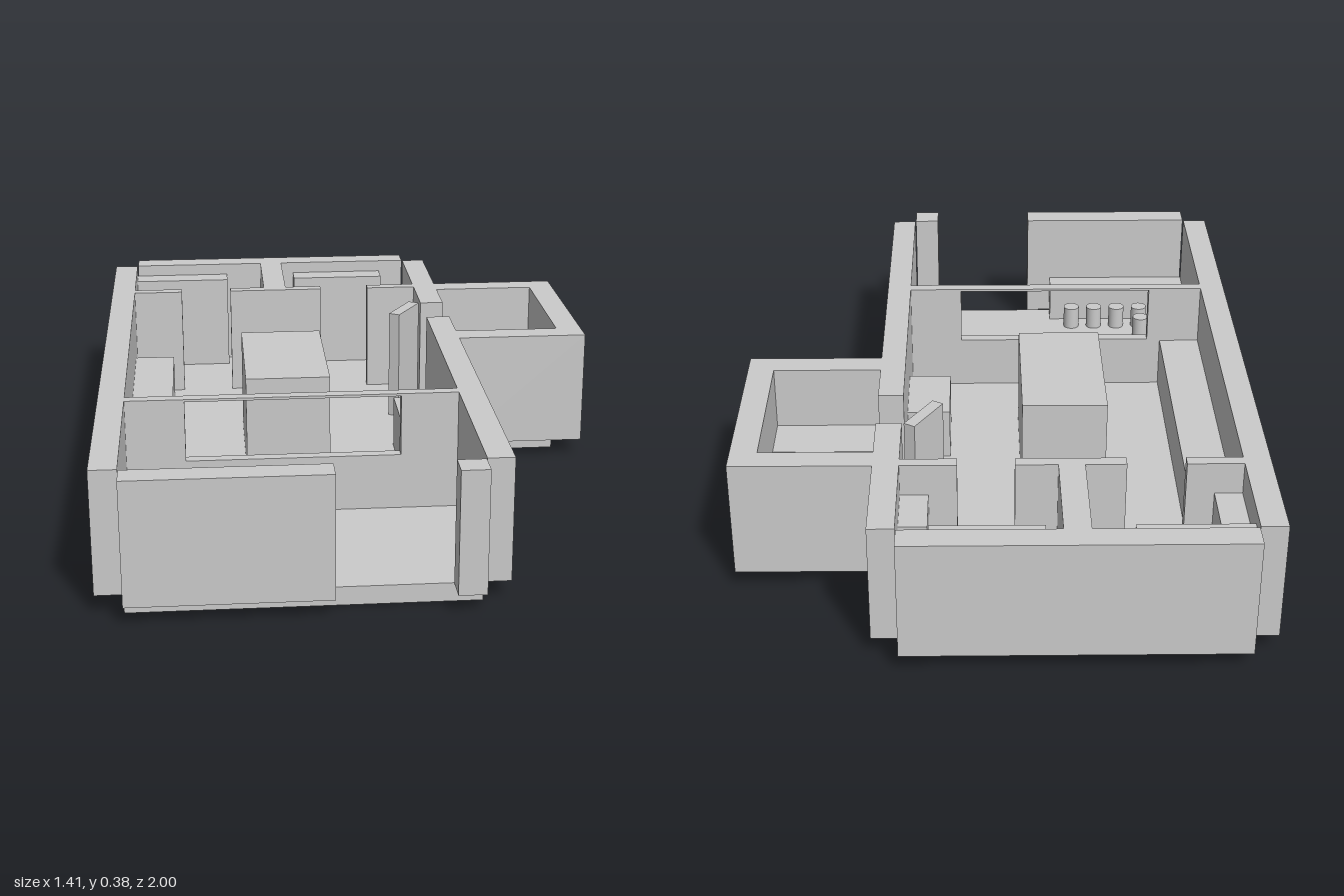
import * as THREE from 'three';

const FLOOR = 0.05, TOP = 0.38;

export function createModel() {
  const model = new THREE.Group();
  const mat = new THREE.MeshStandardMaterial({ color: 0xcccccc, flatShading: true });

  // Box given by its plan extents and its bottom and top heights
  function block(name, x0, x1, z0, z1, y1 = TOP, y0 = FLOOR) {
    const mesh = new THREE.Mesh(new THREE.BoxGeometry(x1 - x0, y1 - y0, z1 - z0), mat);
    mesh.position.set((x0 + x1) / 2, (y0 + y1) / 2, (z0 + z1) / 2);
    mesh.name = name;
    model.add(mesh);
    return mesh;
  }

  // Floor slabs
  block('mainFloor', -0.632, 0.258, -0.925, 0.925, FLOOR, 0);
  block('annexFloor', 0.258, 0.63, -0.555, -0.112, FLOOR, 0);

  // Outer walls, with the front entrance and the annex doorway left open
  block('backWall', -0.632, 0.258, -1, -0.928);
  block('leftSideWall', -0.705, -0.634, -0.925, 0.925);
  block('rightSideWallBack', 0.26, 0.33, -0.925, -0.412);
  block('rightSideWallFront', 0.26, 0.33, -0.26, 0.925);
  block('frontWallWide', -0.632, -0.115, 0.928, 1);
  block('frontWallNarrow', 0.185, 0.258, 0.928, 1);

  // Annex walls
  block('annexBackWall', 0.33, 0.705, -0.63, -0.56);
  block('annexFrontWall', 0.33, 0.705, -0.112, -0.04);
  block('annexSideWall', 0.632, 0.705, -0.56, -0.112);

  // Partition of the two back rooms, with two doorways
  for (const [x0, x1] of [[-0.634, -0.485], [-0.33, -0.04], [0.11, 0.26]]) {
    block('backPartition', x0, x1, -0.63, -0.597);
  }
  block('roomDivider', -0.222, -0.152, -0.928, -0.63);

  // Kitchen partition with a serving hatch
  block('hatchPostLeft', -0.634, -0.475, 0.405, 0.437);
  block('hatchPostRight', 0.105, 0.26, 0.405, 0.437);
  block('hatchSill', -0.475, 0.105, 0.405, 0.437, 0.205);
  block('hatchLintel', -0.475, 0.105, 0.405, 0.437, TOP, 0.373);

  // Door standing open beside the annex doorway
  const door = block('openDoor', 0.13, 0.275, -0.377, -0.343);
  door.rotation.y = THREE.MathUtils.degToRad(59);

  // Furniture
  block('wardrobeLeft', -0.634, -0.335, -0.928, -0.858, 0.345);
  block('wardrobeRight', -0.112, 0.18, -0.928, -0.858, 0.345);
  block('deskLeft', -0.634, -0.56, -0.78, -0.63, 0.29);
  block('deskRight', 0.185, 0.26, -0.78, -0.63, 0.29);
  block('longBench', -0.634, -0.515, -0.485, 0.405, 0.2);
  block('centralTable', -0.305, -0.068, -0.26, 0.18, 0.345);
  block('sideCabinet', 0.137, 0.26, -0.04, 0.18, 0.2);
  block('annexBenchBack', 0.33, 0.632, -0.56, -0.412, 0.2);
  block('annexBenchFront', 0.33, 0.632, -0.26, -0.112, 0.2);

  // L-shaped kitchen counter
  block('counterLong', -0.634, -0.19, 0.855, 0.928, 0.17);
  block('counterShort', -0.634, -0.56, 0.705, 0.855, 0.17);

  // Stools
  const stoolGeo = new THREE.CylinderGeometry(0.025, 0.025, 0.07, 24);
  const stoolMat = new THREE.MeshStandardMaterial({ color: 0xcccccc });
  for (const [x, z] of [[-0.485, 0.73], [-0.485, 0.808], [-0.41, 0.808], [-0.335, 0.808], [-0.26, 0.808]]) {
    const stool = new THREE.Mesh(stoolGeo, stoolMat);
    stool.position.set(x, FLOOR + 0.035, z);
    stool.name = 'stool';
    model.add(stool);
  }
  return model;
}
